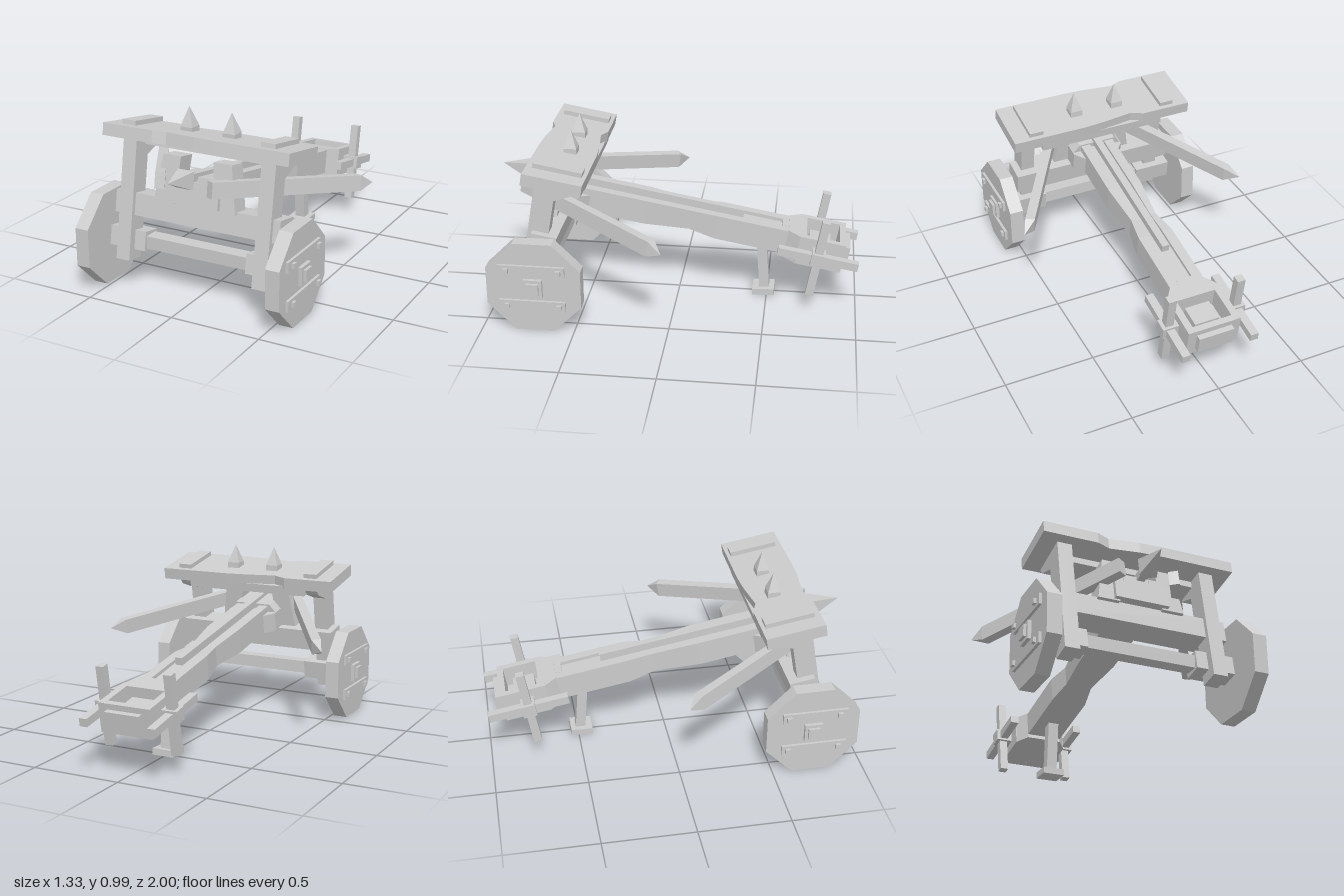
import * as THREE from 'three';

const TILT = -0.175; // stock and frame lean up towards the front
const mat = new THREE.MeshStandardMaterial({ color: 0xcccccc, flatShading: true });

export function createModel() {
  const root = new THREE.Group();
  root.name = 'siegeCrossbow';

  const add = (name, geo, x, y, z, rx = TILT) => {
    const m = new THREE.Mesh(geo, mat);
    m.name = name;
    m.position.set(x, y, z);
    m.rotation.x = rx;
    root.add(m);
    return m;
  };
  const box = (name, w, h, d, x, y, z, rx = TILT) => add(name, new THREE.BoxGeometry(w, h, d), x, y, z, rx);
  // outline in x/y, extruded along z and centred
  const prism = (pts, depth, steps = 1) => {
    const s = new THREE.Shape(pts.map(p => new THREE.Vector2(p[0], p[1])));
    return new THREE.ExtrudeGeometry(s, { depth, steps, bevelEnabled: false }).translate(0, 0, -depth / 2);
  };
  // outline in x/z, extruded along y
  const plan = (pts, h) => prism(pts.map(p => [p[0], -p[1]]), h).rotateX(-Math.PI / 2);
  // outline in z/y, extruded along x
  const side = (pts, w) => prism(pts.map(p => [-p[0], p[1]]), w).rotateY(Math.PI / 2);

  // Stock: grooved beam with a narrow waist
  const stockGeo = prism([[-0.1, -0.069], [0.1, -0.069], [0.1, 0.069], [0.045, 0.069], [0.045, 0.05],
    [-0.045, 0.05], [-0.045, 0.069], [-0.1, 0.069]], 1.4, 28).translate(0, 0, 0.08);
  const p = stockGeo.attributes.position;
  for (let i = 0; i < p.count; i++) {
    const z = p.getZ(i);
    const t = z < -0.07 ? (z + 0.22) / 0.15 : (0.18 - z) / 0.25;
    const k = THREE.MathUtils.clamp(t, 0, 1);
    if (Math.abs(p.getX(i)) > 0.06) p.setX(i, p.getX(i) * (1 - 0.25 * k));
    p.setY(i, p.getY(i) + (p.getY(i) < 0 ? 0.014 : -0.012) * k);
  }
  add('stock', stockGeo, 0, 0.465, 0);
  box('grooveEnd', 0.1, 0.03, 0.05, 0, 0.415, -0.6);

  // Bolt lying in the groove
  box('boltShaft', 0.042, 0.042, 1.2, 0, 0.585, 0.23);
  const head = new THREE.LatheGeometry([[0, -0.13], [0.03, -0.045], [0.068, 0], [0, 0.165]]
    .map(q => new THREE.Vector2(...q)), 4).rotateY(Math.PI / 4).rotateX(Math.PI / 2);
  add('boltHead', head, 0, 0.688, 0.835);

  // Housing around the front of the stock
  add('bowHousing', plan([[-0.15, 0.14], [0.15, 0.14], [0.15, -0.08], [0.1, -0.14], [-0.1, -0.14], [-0.15, -0.08]], 0.11),
    0, 0.555, 0.635);
  add('housingTop', prism([[-0.15, 0], [0.15, 0], [0.11, 0.05], [-0.11, 0.05]], 0.2), 0, 0.61, 0.66);

  // Frame
  box('lowerCrossbeam', 0.97, 0.12, 0.14, 0, 0.45, 0.68);
  add('topPlank', plan([[-0.54, -0.16], [-0.25, -0.16], [-0.18, -0.13], [0, -0.152], [0.12, -0.16], [0.54, -0.16],
    [0.54, 0.16], [0.12, 0.16], [0, 0.155], [-0.17, 0.135], [-0.24, 0.16], [-0.54, 0.16]], 0.066), 0, 0.825, 0.605);
  box('upperCrossbeam', 0.74, 0.05, 0.17, 0, 0.768, 0.545);

  // Winch box at the rear
  add('winchFlare', plan([[-0.1, 0.05], [0.1, 0.05], [0.15, -0.02], [0.15, -0.05], [-0.15, -0.05], [-0.15, -0.02]], 0.165),
    0, 0.342, -0.65);
  box('winchFloor', 0.3, 0.05, 0.24, 0, 0.26, -0.785);
  box('winchBackWall', 0.3, 0.165, 0.035, 0, 0.298, -0.9);
  box('winchDrum', 0.14, 0.09, 0.12, 0, 0.31, -0.78);
  box('winchBackPlate', 0.2, 0.1, 0.035, 0, 0.293, -0.93);

  // Rear leg
  box('rearLeg', 0.06, 0.31, 0.055, 0, 0.185, -0.475, 0.075);
  box('rearFoot', 0.124, 0.036, 0.122, 0, 0.019, -0.482, 0.03);

  // Axle
  box('axle', 0.64, 0.07, 0.08, 0, 0.257, 0.71, 0);

  for (const s of [-1, 1]) {
    // Posts, caps and braces
    box('post', 0.08, 0.665, 0.113, s * 0.405, 0.485, 0.712);
    box('plankCap', 0.08, 0.025, 0.265, s * 0.405, 0.872, 0.59);
    add('postBrace', side([[0.64, 0.69], [0.5, 0.735], [0.465, 0.775], [0.64, 0.8]], 0.08), s * 0.405, 0, 0, 0);
    add('bowPlate', prism([[0.095, 0.12], [0.2, 0.12], [0.24, -0.13], [0.12, -0.13]].map(q => [q[0] * s, q[1]]), 0.11),
      0, 0.63, 0.685);

    // Plank spike
    const spike = new THREE.LatheGeometry([[0.05, -0.02], [0.05, 0.02], [0, 0.125]]
      .map(q => new THREE.Vector2(...q)), 4).rotateY(Math.PI / 4);
    add('spike', spike, s * 0.125, 0.86, 0.58, 0);

    // Bow arm with a pointed outer end
    const L = 0.985;
    const armGeo = new THREE.BoxGeometry(0.052, 0.085, L, 1, 1, 2).translate(0, 0, -L / 2);
    const a = armGeo.attributes.position;
    for (let i = 0; i < a.count; i++) {
      const z = a.getZ(i);
      if (z < -L + 0.01) a.setXYZ(i, s * 0.015, 0, z);
      else if (z < -0.1) a.setZ(i, -L + 0.085);
    }
    const tilted = new THREE.Group();
    tilted.name = 'bowArm';
    tilted.position.set(0, 0.66, 0.845);
    tilted.rotation.x = -0.163;
    const arm = new THREE.Mesh(armGeo, mat);
    arm.name = 'arm';
    arm.position.x = s * 0.145;
    arm.rotation.y = -s * 0.54;
    tilted.add(arm);
    root.add(tilted);

    // Wheel with straps, nuts and hub
    box('axleBlock', 0.24, 0.105, 0.11, s * 0.42, 0.257, 0.71);
    const wheel = new THREE.CylinderGeometry(0.276, 0.276, 0.078, 8).rotateY(Math.PI / 8).rotateZ(Math.PI / 2);
    add('wheel', wheel, s * 0.556, 0.255, 0.712, 0);
    box('hubPlate', 0.03, 0.1, 0.1, s * 0.6, 0.257, 0.712, 0);
    box('hubCap', 0.05, 0.065, 0.065, s * 0.605, 0.257, 0.712, 0);
    for (const y of [0.152, 0.358]) {
      box('wheelStrap', 0.03, 0.058, 0.36, s * 0.595, y, 0.72, 0);
      for (const z of [0.572, 0.853]) box('strapNut', 0.03, 0.027, 0.027, s * 0.61, y, z, 0);
    }

    // Winch side wall, hub and crossed spokes
    box('winchSideWall', 0.038, 0.165, 0.25, s * 0.131, 0.318, -0.79);
    box('winchHub', 0.1, 0.07, 0.075, s * 0.19, 0.32, -0.78);
    box('winchSpoke', 0.045, 0.045, 0.445, s * 0.197, 0.32, -0.78);
    box('winchSpoke', 0.045, 0.445, 0.045, s * 0.197, 0.32, -0.78);
  }
  return root;
}
